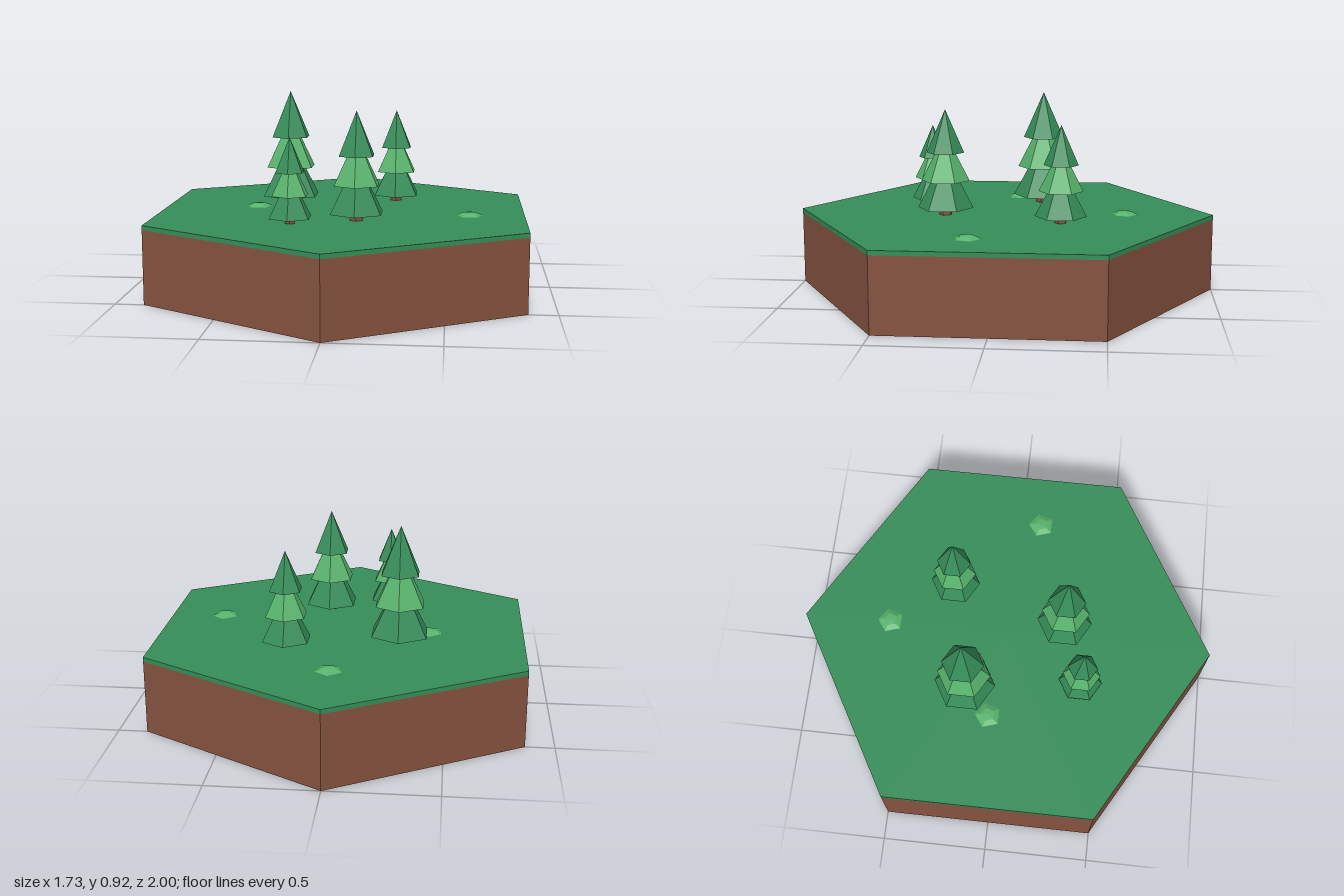
import * as THREE from 'three';

const material = (name, color) => {
  const m = new THREE.MeshStandardMaterial({ color, flatShading: true });
  m.name = name;
  return m;
};

export function createModel() {
  const soil = material('soil brown', 0x85523f);
  const green = material('pine green', 0x368d59);
  const light = material('light leaf green', 0x58b36c);
  const GROUND = 0.368;

  const model = new THREE.Group();
  model.name = 'forestTile';

  // Adds a faceted column, cone or frustum standing at height y
  const add = (parent, name, mat, rTop, rBottom, height, sides, y) => {
    const mesh = new THREE.Mesh(new THREE.CylinderGeometry(rTop, rBottom, height, sides), mat);
    mesh.name = name;
    mesh.position.y = y + height / 2;
    parent.add(mesh);
    return mesh;
  };

  // Hexagonal ground with a thin grass layer
  add(model, 'soilBase', soil, 1, 1, 0.347, 6, 0);
  add(model, 'grassLayer', green, 1, 1, GROUND - 0.347, 6, 0.347);

  // Pine trees: x, z, scale
  const trees = [
    [-0.28, -0.172, 1.1],
    [0.086, 0.277, 1],
    [0.241, -0.28, 0.9],
    [-0.208, 0.38, 0.78],
  ];
  // Foliage tiers: name, material, radius, height, base height
  const tiers = [
    ['lowerFoliage', green, 0.134, 0.255, 0.034],
    ['middleFoliage', light, 0.115, 0.23, 0.165],
    ['upperFoliage', green, 0.09, 0.206, 0.3],
  ];
  trees.forEach(([x, z, scale]) => {
    const tree = new THREE.Group();
    tree.name = 'pineTree';
    tree.position.set(x, GROUND, z);
    tree.scale.setScalar(scale);
    add(tree, 'trunk', soil, 0.026, 0.032, 0.12, 5, 0);
    tiers.forEach(([name, mat, r, h, y]) => add(tree, name, mat, 0, r, h, 6, y));
    model.add(tree);
  });

  // Low five-sided leaf tufts with a shallow faceted crown
  [[0.012, -0.578], [-0.42, -0.045], [0.607, 0.113]].forEach(([x, z]) => {
    const tuft = new THREE.Group();
    tuft.name = 'grassTuft';
    tuft.position.set(x, GROUND, z);
    tuft.rotation.y = Math.PI;
    add(tuft, 'tuftBase', light, 0.034, 0.063, 0.013, 5, 0);
    add(tuft, 'tuftCrown', light, 0, 0.034, 0.003, 5, 0.013);
    model.add(tuft);
  });

  return model;
}
